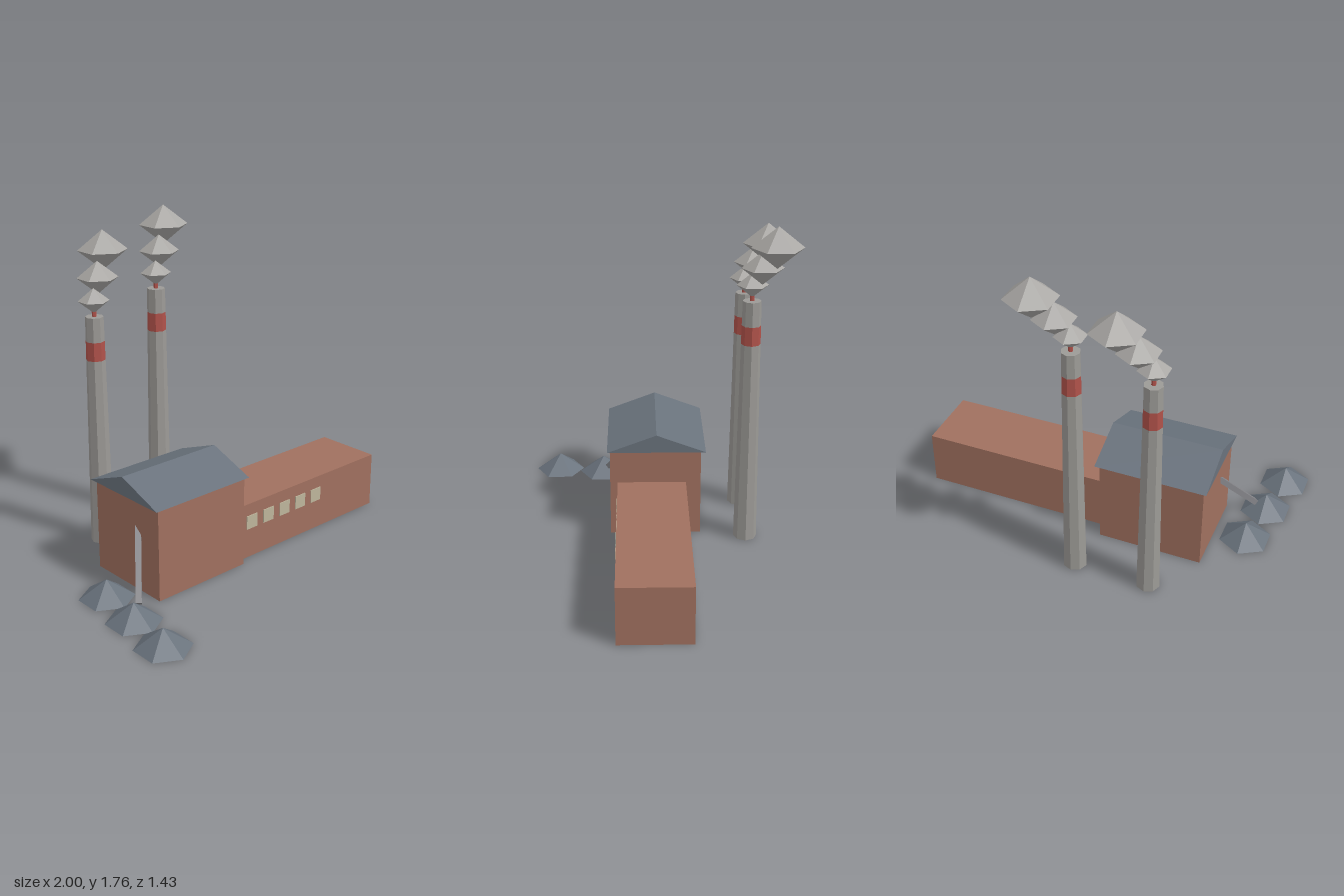
import * as THREE from 'three';

const mat = (name, color, open = false) => {
  const m = new THREE.MeshStandardMaterial({ color, flatShading: true });
  m.name = name;
  if (open) m.side = THREE.DoubleSide;
  return m;
};

export function createModel() {
  const brick = mat('brick', 0xa0705f, true);
  const slate = mat('slate', 0x69727c, true);
  const concrete = mat('concrete', 0x9c9a96, true);
  const red = mat('red paint', 0xb0524a, true);
  const smoke = mat('smoke', 0xaaa8a5);
  const glass = mat('window glass', 0xbeb59c);
  const steel = mat('steel', 0x86868a);

  const root = new THREE.Group();
  root.name = 'powerStation';
  const add = (parent, name, geo, material, x = 0, y = 0, z = 0) => {
    const mesh = new THREE.Mesh(geo, material);
    mesh.name = name;
    mesh.position.set(x, y, z);
    parent.add(mesh);
    return mesh;
  };

  // Brick shell standing on the ground, without a floor
  const shell = (name, x0, x1, h, z0, z1) => {
    const geo = new THREE.BoxGeometry(x1 - x0, h, z1 - z0);
    const index = Array.from(geo.index.array);
    index.splice(18, 6);
    geo.setIndex(index);
    geo.clearGroups();
    return add(root, name, geo, brick, (x0 + x1) / 2, h / 2, (z0 + z1) / 2);
  };
  shell('boilerHouse', -0.63, -0.06, 0.492, -0.24, 0.25);
  shell('turbineHall', -0.06, 1, 0.308, -0.16, 0.21);

  // Gable roof with its ridge along x
  const gable = new THREE.Shape();
  gable.moveTo(-0.265, 0);
  gable.lineTo(0.265, 0);
  gable.lineTo(0, 0.1);
  gable.closePath();
  const roofGeo = new THREE.ExtrudeGeometry(gable, { depth: 0.61, bevelEnabled: false });
  roofGeo.rotateY(Math.PI / 2);
  add(root, 'roof', roofGeo, slate, -0.65, 0.493, 0);

  // Row of hall windows
  for (let i = 0; i < 5; i++) {
    add(root, 'window', new THREE.BoxGeometry(0.075, 0.075, 0.008), glass, 0.035 + i * 0.1222, 0.203, 0.211);
  }

  // Tapered chimneys with a red band, a stub on top and rising smoke
  const chimney = (x, h) => {
    const g = new THREE.Group();
    g.name = 'chimney';
    g.position.set(x, 0, -0.483);
    root.add(g);
    const radius = (y) => 0.063 - (0.015 * y) / h;
    const section = (name, y0, y1, material) =>
      add(g, name, new THREE.CylinderGeometry(radius(y1), radius(y0), y1 - y0, 8, 1, true), material, 0, (y0 + y1) / 2, 0);
    section('lowerShaft', 0, h - 0.23, concrete);
    section('redBand', h - 0.23, h - 0.13, red);
    section('upperShaft', h - 0.13, h, concrete);
    const cap = new THREE.CircleGeometry(0.048, 8, Math.PI / 2);
    cap.rotateX(-Math.PI / 2);
    add(g, 'chimneyTop', cap, concrete, 0, h, 0);
    add(g, 'topStub', new THREE.CylinderGeometry(0.012, 0.012, 0.04, 6), red, 0, h + 0.02, 0);

    // x, y above the rim, z and radius of each puff
    const puffs = [[0, 0.083, 0, 0.082], [0.06, 0.187, -0.042, 0.108], [0.142, 0.31, -0.102, 0.132]];
    for (const [px, py, pz, r] of puffs) {
      const geo = new THREE.SphereGeometry(r, 6, 2);
      geo.rotateY(Math.PI / 2);
      geo.scale(1, 0.8, 1);
      add(g, 'smokePuff', geo, smoke, px, h + py, pz);
    }
  };
  chimney(-0.43, 1.265);
  chimney(-0.02, 1.345);

  // Fuel heaps
  for (let i = 0; i < 3; i++) {
    add(root, 'coalHeap', new THREE.ConeGeometry(0.142, 0.1, 6, 1, true), slate, -0.797 - i * 0.04, 0.05, 0.042 + i * 0.266);
  }

  // Conveyor rising from the heaps into the boiler house
  const from = new THREE.Vector3(-0.782, 0.058, 0.277);
  const to = new THREE.Vector3(-0.6, 0.36, 0.055);
  const mid = from.clone().add(to).multiplyScalar(0.5);
  const conveyor = add(root, 'conveyor', new THREE.BoxGeometry(0.03, 0.03, from.distanceTo(to)), steel, mid.x, mid.y, mid.z);
  conveyor.lookAt(to);

  return root;
}
